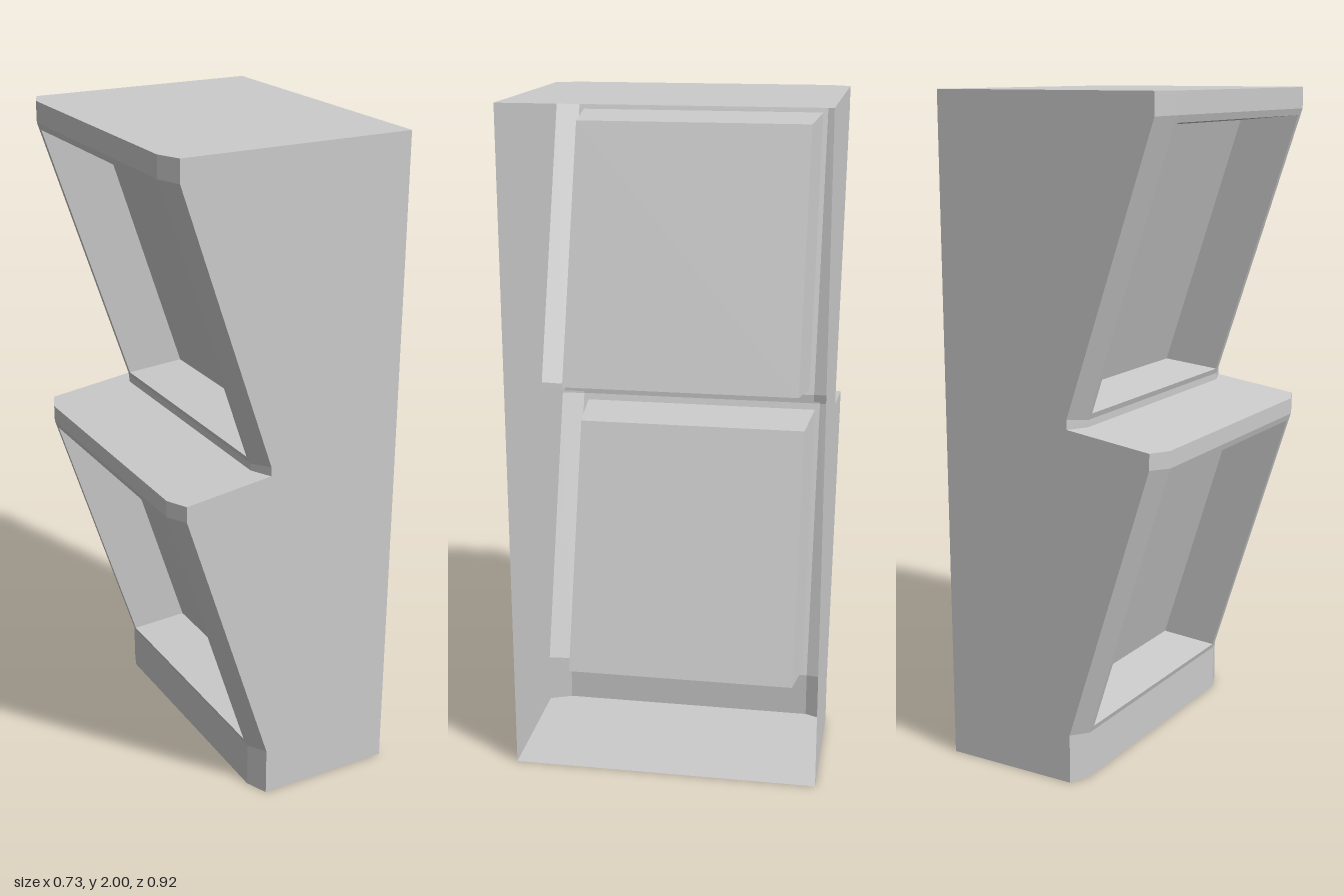
import * as THREE from 'three';

const material = new THREE.MeshStandardMaterial({ color: 0xcccccc, flatShading: true, side: THREE.DoubleSide });

// Flat-shaded mesh from four-cornered faces
function quadMesh(name, quads) {
  const points = quads.flatMap(([a, b, c, d]) => [a, b, c, a, c, d]);
  const geometry = new THREE.BufferGeometry();
  geometry.setAttribute('position', new THREE.Float32BufferAttribute(points.flat(), 3));
  geometry.computeVertexNormals();
  const mesh = new THREE.Mesh(geometry, material);
  mesh.name = name;
  return mesh;
}

const HALF_WIDTH = 0.46, FACE_HALF = 0.393;

// Saw-tooth outline [x, y] at the side walls, and the fuller one inside the chamfers
const sideProfile = [
  [0.365, 0], [-0.055, 0], [-0.055, 0.15], [-0.322, 0.99], [-0.322, 1.038],
  [-0.055, 1.072], [-0.055, 1.1], [-0.335, 1.935], [-0.335, 2], [0.365, 2],
];
const faceProfile = [
  [0.365, 0], [-0.083, 0], [-0.083, 0.14], [-0.35, 0.985], [-0.35, 1.035],
  [-0.083, 1.069], [-0.083, 1.09], [-0.365, 1.937], [-0.365, 2], [0.365, 2],
];
const SLOPED = [2, 6]; // segments that carry the recessed panels

// Surface between two outlines, leaving out the listed segments
function loft(p, z0, q, z1, skip = []) {
  const quads = [];
  for (let i = 0; i < p.length - 1; i++) {
    if (skip.includes(i)) continue;
    quads.push([[...p[i], z0], [...q[i], z1], [...q[i + 1], z1], [...p[i + 1], z0]]);
  }
  return quads;
}

// Frame, tapering walls and floor of one recess in a sloped face
function recess(name, [x0, y0], [x1, y1]) {
  const slope = (x1 - x0) / (y1 - y0);
  const ring = (halfZ, bottom, top, depth) => {
    const at = (y, z) => [x0 + slope * (y - y0) + depth, y, z];
    return [at(bottom, -halfZ), at(bottom, halfZ), at(top, halfZ), at(top, -halfZ)];
  };
  const rings = [
    ring(FACE_HALF, y0, y1, 0),
    ring(0.378, y0 + 0.017, y1 - 0.02, 0),
    ring(0.36, y0 + 0.037, y1 - 0.037, 0.18),
  ];
  const band = (o, n) => o.map((_, i) => [o[i], o[(i + 1) % 4], n[(i + 1) % 4], n[i]]);
  const group = new THREE.Group();
  group.name = name;
  group.add(
    quadMesh('panelFrame', band(rings[0], rings[1])),
    quadMesh('recessWalls', band(rings[1], rings[2])),
    quadMesh('recessFloor', [rings[2]]),
  );
  return group;
}

export function createModel() {
  const model = new THREE.Group();
  model.name = 'twoTierCabinet';

  // Side walls
  const outline = new THREE.Shape(sideProfile.map(([x, y]) => new THREE.Vector2(x, y)));
  for (const [name, side] of [['frontWall', 1], ['rearWall', -1]]) {
    const wall = new THREE.Mesh(new THREE.ShapeGeometry(outline), material);
    wall.name = name;
    wall.position.z = side * HALF_WIDTH;
    wall.scale.z = side;
    model.add(wall);
  }

  // Top, base, shelf and lips, with chamfered ends; the +x side stays open
  model.add(
    quadMesh('casing', loft(faceProfile, -FACE_HALF, faceProfile, FACE_HALF, SLOPED)),
    quadMesh('frontChamfer', loft(faceProfile, FACE_HALF, sideProfile, HALF_WIDTH)),
    quadMesh('rearChamfer', loft(sideProfile, -HALF_WIDTH, faceProfile, -FACE_HALF)),
  );

  // Recessed panels in the two sloped faces
  SLOPED.forEach((i, n) => {
    model.add(recess(n ? 'upperRecess' : 'lowerRecess', faceProfile[i], faceProfile[i + 1]));
  });
  return model;
}
